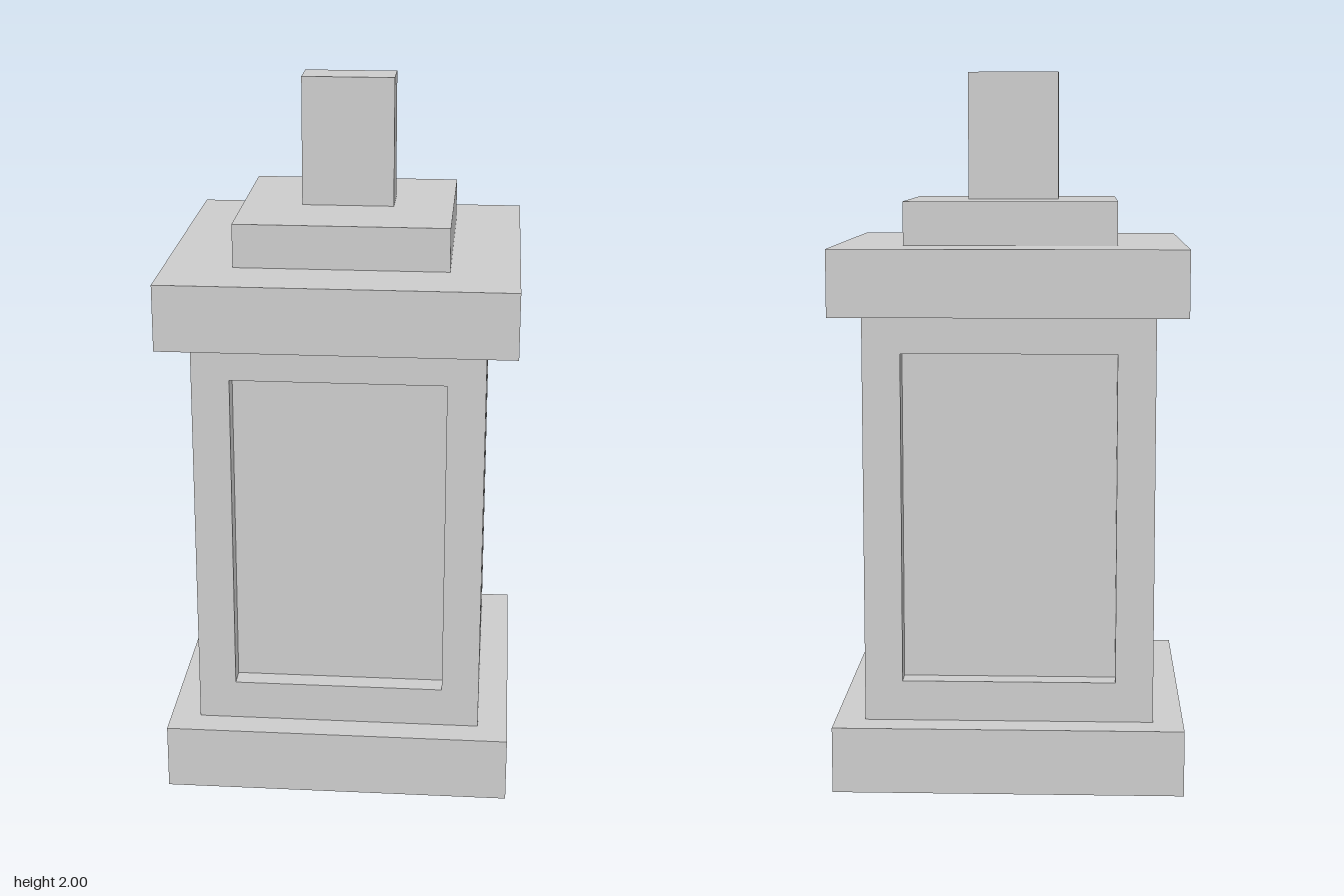
import * as THREE from 'three';

const material = new THREE.MeshStandardMaterial({ color: 0xcccccc, flatShading: true });

// Box standing on y0, centred on the vertical axis
function block(name, width, y0, y1, depth = width) {
  const mesh = new THREE.Mesh(new THREE.BoxGeometry(width, y1 - y0, depth), material);
  mesh.name = name;
  mesh.position.y = (y0 + y1) / 2;
  return mesh;
}

// Rectangular outline running counter-clockwise
function rectangle(target, halfWidth, y0, y1) {
  target.moveTo(-halfWidth, y0);
  target.lineTo(halfWidth, y0);
  target.lineTo(halfWidth, y1);
  target.lineTo(-halfWidth, y1);
  target.closePath();
  return target;
}

export function createModel() {
  const model = new THREE.Group();
  model.name = 'pedestal';

  const bodyHalf = 0.405, recess = 0.06, coreHalf = bodyHalf - recess;
  const bodyBottom = 0.185, bodyTop = 1.33;

  // Stacked blocks; the core's faces are the recessed panels
  model.add(
    block('base', 0.98, 0, bodyBottom),
    block('bodyCore', coreHalf * 2, bodyBottom, bodyTop),
    block('cap', 0.98, bodyTop, 1.515),
    block('upperStep', 0.597, 1.515, 1.637),
    block('topPost', 0.26, 1.637, 2, 0.114)
  );

  // Panel frames: front and back span the full width, the sides fit between them
  const names = ['frontFrame', 'leftFrame', 'backFrame', 'rightFrame'];
  names.forEach((name, i) => {
    const shape = rectangle(new THREE.Shape(), i % 2 ? coreHalf : bodyHalf, bodyBottom, bodyTop);
    shape.holes.push(rectangle(new THREE.Path(), 0.299, 0.298, 1.224));
    const geometry = new THREE.ExtrudeGeometry(shape, { depth: recess, bevelEnabled: false });
    geometry.translate(0, 0, coreHalf);
    const frame = new THREE.Mesh(geometry, material);
    frame.name = name;
    frame.rotation.y = i * Math.PI / 2;
    model.add(frame);
  });

  return model;
}
